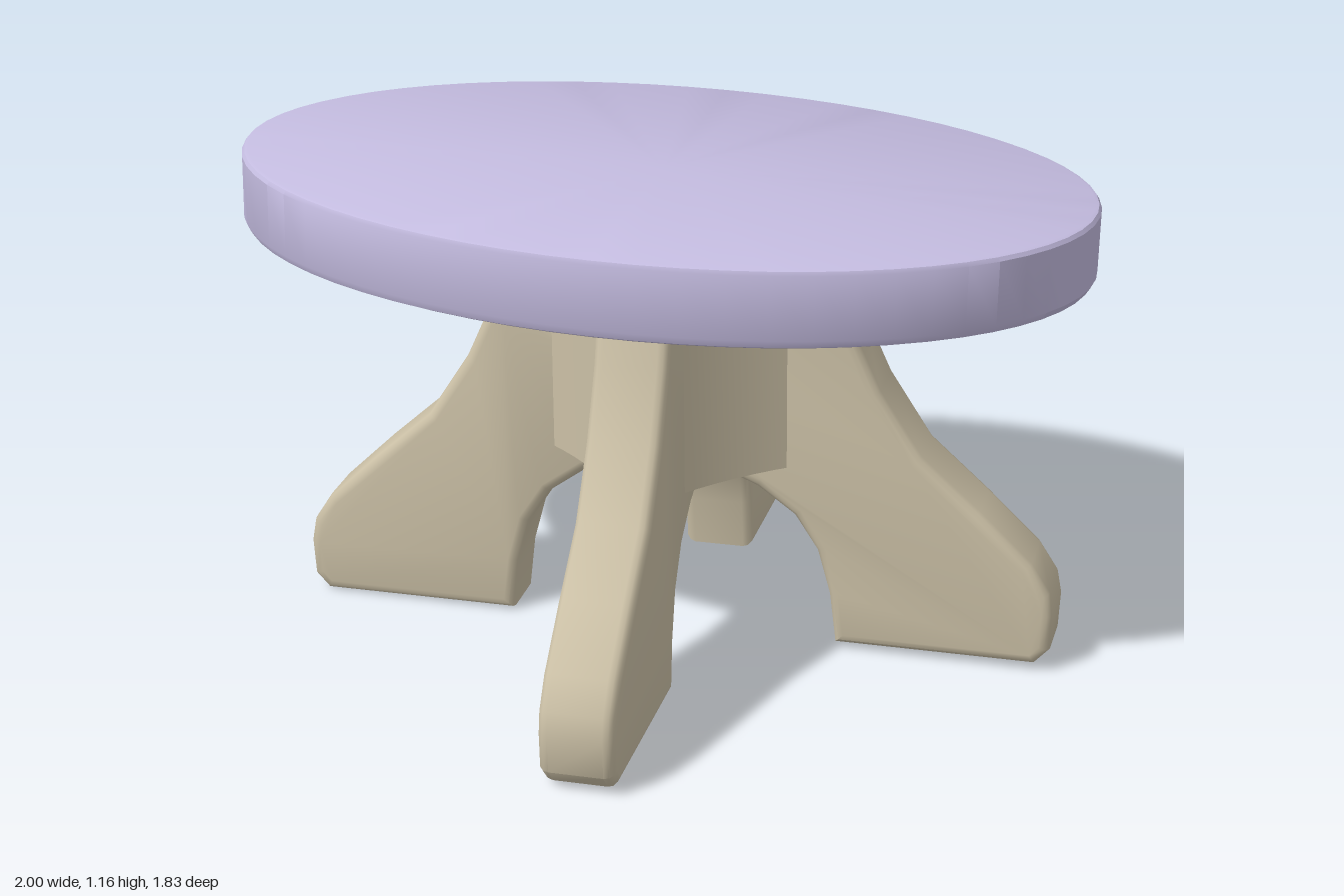
import * as THREE from 'three';
import { toCreasedNormals } from 'three/addons/utils/BufferGeometryUtils.js';

const lavender = new THREE.MeshStandardMaterial({ color: 0xc4bce0 });
lavender.name = 'lavender paint';
const beige = new THREE.MeshStandardMaterial({ color: 0xcbc0a6 });
beige.name = 'beige wood';

const TWIST = 0.195; // the whole table is turned slightly about y
const points = (list) => list.map(([x, y]) => new THREE.Vector2(x, y));

function add(parent, name, geometry, material) {
  const mesh = new THREE.Mesh(geometry, material);
  mesh.name = name;
  parent.add(mesh);
  return mesh;
}

// Arch made of two opposite legs, extruded across its width
function legPairGeometry() {
  const bevel = 0.025;
  const outer = [[0.39, 0.975], [0.43, 0.82], [0.5, 0.665], [0.6, 0.51], [0.74, 0.385],
    [0.865, 0.265], [0.91, 0.195], [0.92, 0.14], [0.915, 0.05], [0.88, 0.012]];
  const inner = [[0.4, 0.012], [0.385, 0.14], [0.355, 0.25], [0.3, 0.335],
    [0.21, 0.4], [0.11, 0.44], [0, 0.452]];
  const half = [...outer, ...inner];
  const mirrored = half.slice(0, -1).reverse().map(([x, y]) => [-x, y]);
  const shape = new THREE.Shape(points([...half, ...mirrored]));
  const depth = 0.175 - 2 * bevel;
  const geometry = new THREE.ExtrudeGeometry(shape, {
    depth, bevelThickness: bevel, bevelSize: bevel, bevelOffset: -bevel, bevelSegments: 3,
  });
  geometry.translate(0, 0, -depth / 2);
  return toCreasedNormals(geometry, 0.7);
}

// Hub between the legs, with slightly hollow diagonal faces
function hubGeometry() {
  const a = 0.3, b = 0.075, c = 0.17;
  const shape = new THREE.Shape();
  shape.moveTo(a, -b);
  shape.lineTo(a, b);
  shape.quadraticCurveTo(c, c, b, a);
  shape.lineTo(-b, a);
  shape.quadraticCurveTo(-c, c, -a, b);
  shape.lineTo(-a, -b);
  shape.quadraticCurveTo(-c, -c, -b, -a);
  shape.lineTo(b, -a);
  shape.quadraticCurveTo(c, -c, a, -b);
  const geometry = new THREE.ExtrudeGeometry(shape, { depth: 0.51, bevelEnabled: false, curveSegments: 6 });
  geometry.rotateX(-Math.PI / 2).translate(0, 0.46, 0);
  return toCreasedNormals(geometry, 0.6);
}

// Oval slab with softened rims
function topGeometry() {
  const h = 0.093;
  const profile = points([[0, -h], [0.965, -h], [0.99, -h + 0.008], [1, -h + 0.025],
    [1, h - 0.012], [0.994, h - 0.003], [0.985, h], [0, h]]);
  const geometry = new THREE.LatheGeometry(profile, 64);
  geometry.scale(1.01, 1, 0.63);
  return toCreasedNormals(geometry, 0.5);
}

export function createModel() {
  const model = new THREE.Group();
  model.name = 'ovalTable';

  // Base: two crossing leg arches and the hub
  const base = new THREE.Group();
  base.name = 'base';
  const legs = legPairGeometry();
  add(base, 'sideLegs', legs, beige);
  add(base, 'frontAndBackLegs', legs, beige).rotation.y = Math.PI / 2;
  add(base, 'hub', hubGeometry(), beige);
  base.rotation.y = TWIST;
  const lean = new THREE.Group();
  lean.name = 'leaningBase';
  lean.add(base);
  lean.rotation.z = 0.01;
  lean.position.x = 0.035;
  model.add(lean);

  // Top: leans a little toward +x
  const slab = new THREE.Group();
  slab.name = 'tabletop';
  add(slab, 'ovalTop', topGeometry(), lavender).rotation.y = TWIST;
  slab.rotation.z = -0.018;
  slab.position.set(-0.003, 1.057, 0.015);
  model.add(slab);

  return model;
}
